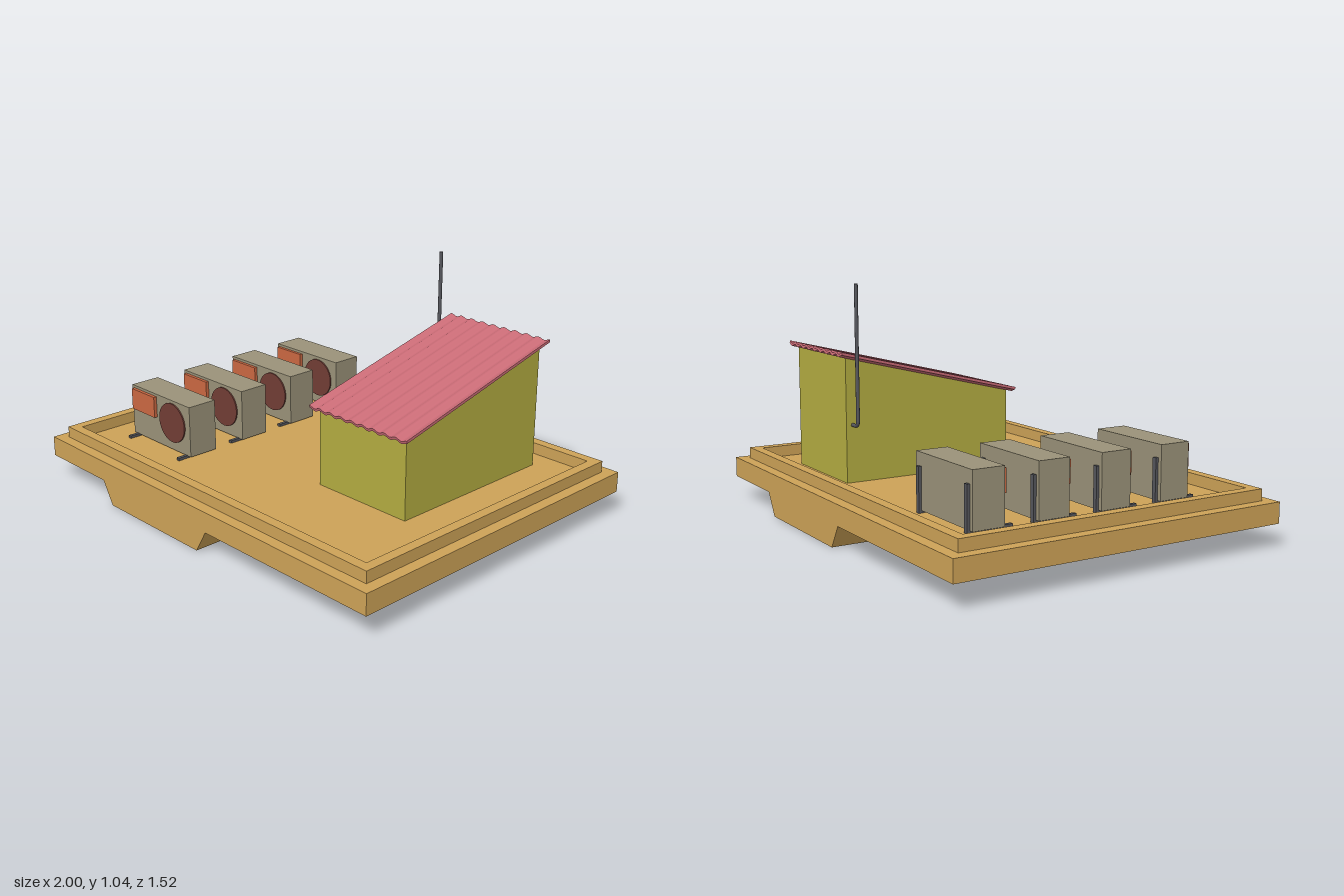
import * as THREE from 'three';

const mat = (name, color) => {
  const m = new THREE.MeshStandardMaterial({ color });
  m.name = name;
  return m;
};

export function createModel() {
  const model = new THREE.Group();
  model.name = 'rooftopPlatform';
  const tan = mat('tan', 0xcda257);
  const olive = mat('olive', 0xb3ac41);
  const pink = mat('pink', 0xca6b76);
  const grey = mat('warmGrey', 0x9a9279);
  const orange = mat('orange', 0xcb6842);
  const maroon = mat('maroon', 0x713d35);
  const dark = mat('darkGrey', 0x55565c);

  const add = (parent, name, geometry, material, x = 0, y = 0, z = 0) => {
    const mesh = new THREE.Mesh(geometry, material);
    mesh.name = name;
    mesh.position.set(x, y, z);
    parent.add(mesh);
    return mesh;
  };
  // Box given by its limits on each axis
  const box = (parent, name, material, x0, x1, y0, y1, z0, z1) =>
    add(parent, name, new THREE.BoxGeometry(x1 - x0, y1 - y0, z1 - z0), material,
      (x0 + x1) / 2, (y0 + y1) / 2, (z0 + z1) / 2);
  const polygon = (points) => new THREE.Shape(points.map(([x, y]) => new THREE.Vector2(x, y)));
  const rect = (w, d) => [[-w, -d], [w, -d], [w, d], [-w, d]];
  // Horizontal rectangular ring from half sizes
  const ring = (name, w, d, holeW, holeD, y0, y1) => {
    const shape = polygon(rect(w, d));
    shape.holes.push(polygon(rect(holeW, holeD)));
    const geometry = new THREE.ExtrudeGeometry(shape, { depth: y1 - y0, bevelEnabled: false });
    geometry.rotateX(-Math.PI / 2);
    add(model, name, geometry, tan, 0, y0, 0);
  };

  // Hollow base: lower lip, outer wall, floor and raised rim
  ring('baseLip', 1, 0.76, 0.75, 0.51, 0.1, 0.11);
  ring('baseWall', 1, 0.76, 0.97, 0.73, 0.11, 0.18);
  box(model, 'floor', tan, -1, 1, 0.18, 0.19, -0.76, 0.76);
  ring('rim', 0.95, 0.71, 0.905, 0.665, 0.19, 0.24);

  // Tapered feet, offset to opposite sides at front and back
  const footShape = polygon([[-0.55, 0], [0.04, 0], [0.1, 0.1], [-0.61, 0.1]]);
  const footGeometry = new THREE.ExtrudeGeometry(footShape, { depth: 0.24, bevelEnabled: false });
  add(model, 'frontFoot', footGeometry, tan, 0, 0, 0.52);
  add(model, 'backFoot', footGeometry, tan, 0, 0, -0.52).rotation.y = Math.PI;

  // Hut with a sloping top; its side profile is drawn as (-z, y)
  const hut = new THREE.Group();
  hut.name = 'hut';
  model.add(hut);
  const wallShape = polygon([[-0.245, 0.185], [0.56, 0.185], [0.56, 0.727], [-0.245, 0.53]]);
  const walls = new THREE.ExtrudeGeometry(wallShape, { depth: 0.48, bevelEnabled: false });
  walls.rotateY(Math.PI / 2);
  add(hut, 'hutWalls', walls, olive, 0.22, 0, 0);

  // Corrugated roof sheet
  const waves = 9, steps = 72, roofWidth = 0.54;
  const top = [], bottom = [];
  for (let i = 0; i <= steps; i++) {
    const x = (i / steps - 0.5) * roofWidth;
    const y = 0.005 * Math.cos((i / steps) * waves * Math.PI * 2);
    top.push([x, y + 0.006]);
    bottom.unshift([x, y - 0.006]);
  }
  const roofLength = Math.hypot(0.865, 0.213);
  const roof = new THREE.ExtrudeGeometry(polygon([...bottom, ...top]),
    { depth: roofLength, bevelEnabled: false });
  roof.translate(0, 0, -roofLength / 2);
  add(hut, 'corrugatedRoof', roof, pink, 0.46, 0.639, -0.158).rotation.x = Math.atan2(0.213, 0.865);

  // Vent pipe with an elbow into the hut wall
  const pipePath = new THREE.CurvePath();
  const P = (x, y) => new THREE.Vector3(x, y, -0.53);
  pipePath.add(new THREE.LineCurve3(P(0.23, 0.44), P(0.195, 0.44)));
  pipePath.add(new THREE.QuadraticBezierCurve3(P(0.195, 0.44), P(0.17, 0.44), P(0.17, 0.465)));
  pipePath.add(new THREE.LineCurve3(P(0.17, 0.465), P(0.17, 1.04)));
  add(hut, 'ventPipe', new THREE.TubeGeometry(pipePath, 120, 0.008, 12, false), dark);
  add(hut, 'ventPipeCap', new THREE.CylinderGeometry(0.008, 0.008, 0.004, 12), dark, 0.17, 1.039, -0.53);

  // Row of four outdoor cooling units
  for (const z of [-0.475, -0.185, 0.107, 0.4]) {
    const unit = new THREE.Group();
    unit.name = 'coolingUnit';
    unit.position.z = z;
    model.add(unit);
    box(unit, 'unitBody', grey, -0.775, -0.36, 0.2, 0.43, -0.07, 0.07);
    box(unit, 'frontPanel', orange, -0.76, -0.595, 0.322, 0.418, 0.07, 0.085);
    const fan = new THREE.CylinderGeometry(0.09, 0.09, 0.006, 40);
    fan.rotateX(Math.PI / 2);
    add(unit, 'fan', fan, maroon, -0.482, 0.327, 0.073);
    // Floor rails with upright rear brackets
    for (const x of [-0.747, -0.39]) {
      box(unit, 'rail', dark, x - 0.008, x + 0.008, 0.178, 0.202, -0.08, 0.118);
      box(unit, 'rearBracket', dark, x - 0.01, x + 0.01, 0.19, 0.375, -0.082, -0.07);
    }
  }
  return model;
}
